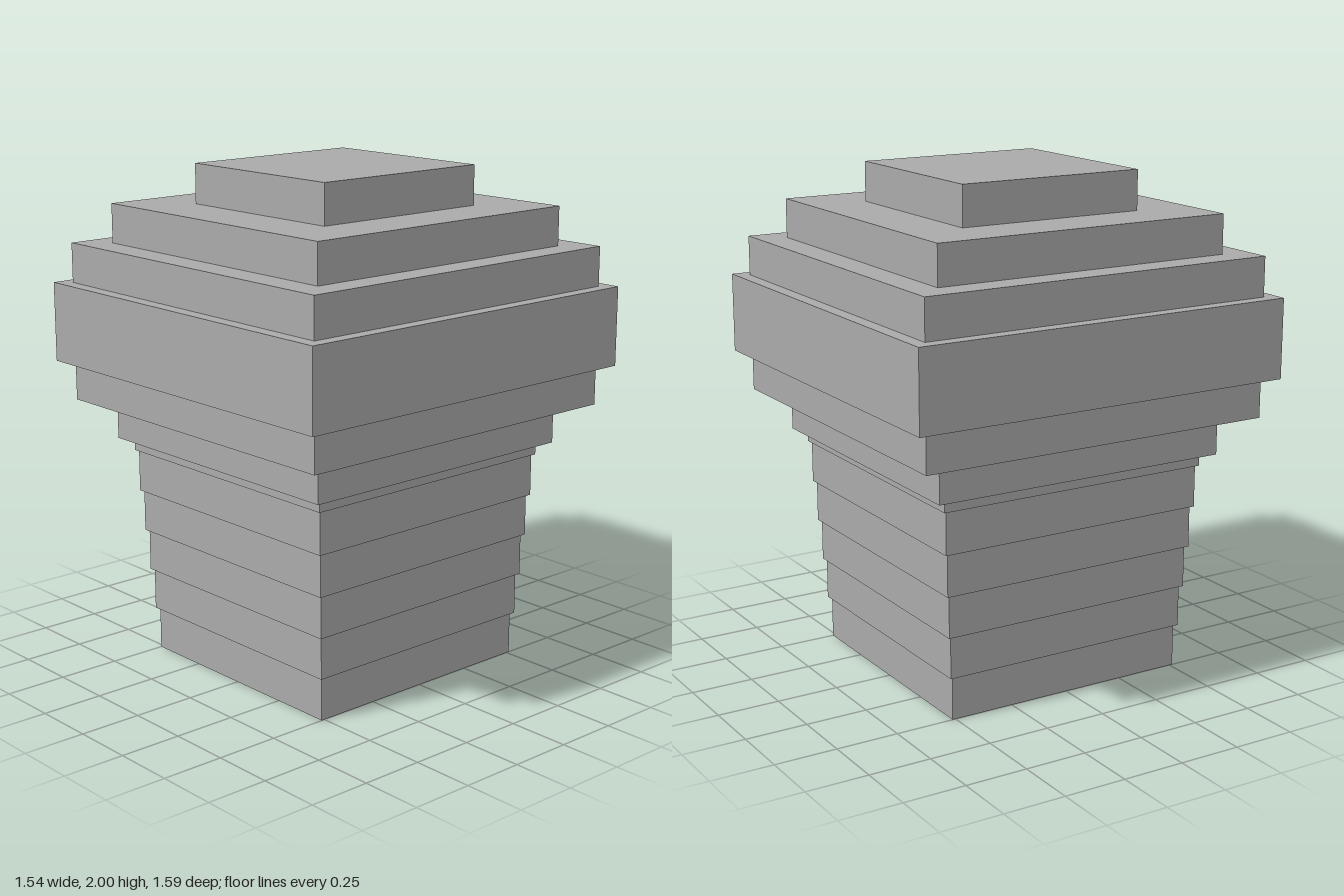
import * as THREE from 'three';

export function createModel() {
  const model = new THREE.Group();
  const grey = new THREE.MeshStandardMaterial({ color: 0xaaaaaa });
  grey.name = 'grey';

  // Slabs are slightly deeper than they are wide
  const DEPTH_RATIO = 1.027;

  // Stacks rectangular slabs upward; each tier is [half width, top height]
  function stack(name, startY, tiers) {
    const group = new THREE.Group();
    group.name = name;
    let y = startY;
    tiers.forEach(([half, top], i) => {
      const slab = new THREE.Mesh(
        new THREE.BoxGeometry(2 * half, top - y, 2 * half * DEPTH_RATIO),
        grey
      );
      slab.name = `${name}Tier${i + 1}`;
      slab.position.y = (y + top) / 2;
      group.add(slab);
      y = top;
    });
    model.add(group);
  }

  // Gently widening trunk
  stack('trunk', 0, [
    [0.5, 0.172], [0.513, 0.34], [0.525, 0.508],
    [0.537, 0.676], [0.549, 0.845], [0.56, 0.895],
  ]);

  // Stepped, rounded crown
  stack('crown', 0.895, [
    [0.606, 1.053], [0.719, 1.211], [0.772, 1.37], [0.772, 1.528],
    [0.719, 1.686], [0.606, 1.842], [0.376, 2],
  ]);

  return model;
}
